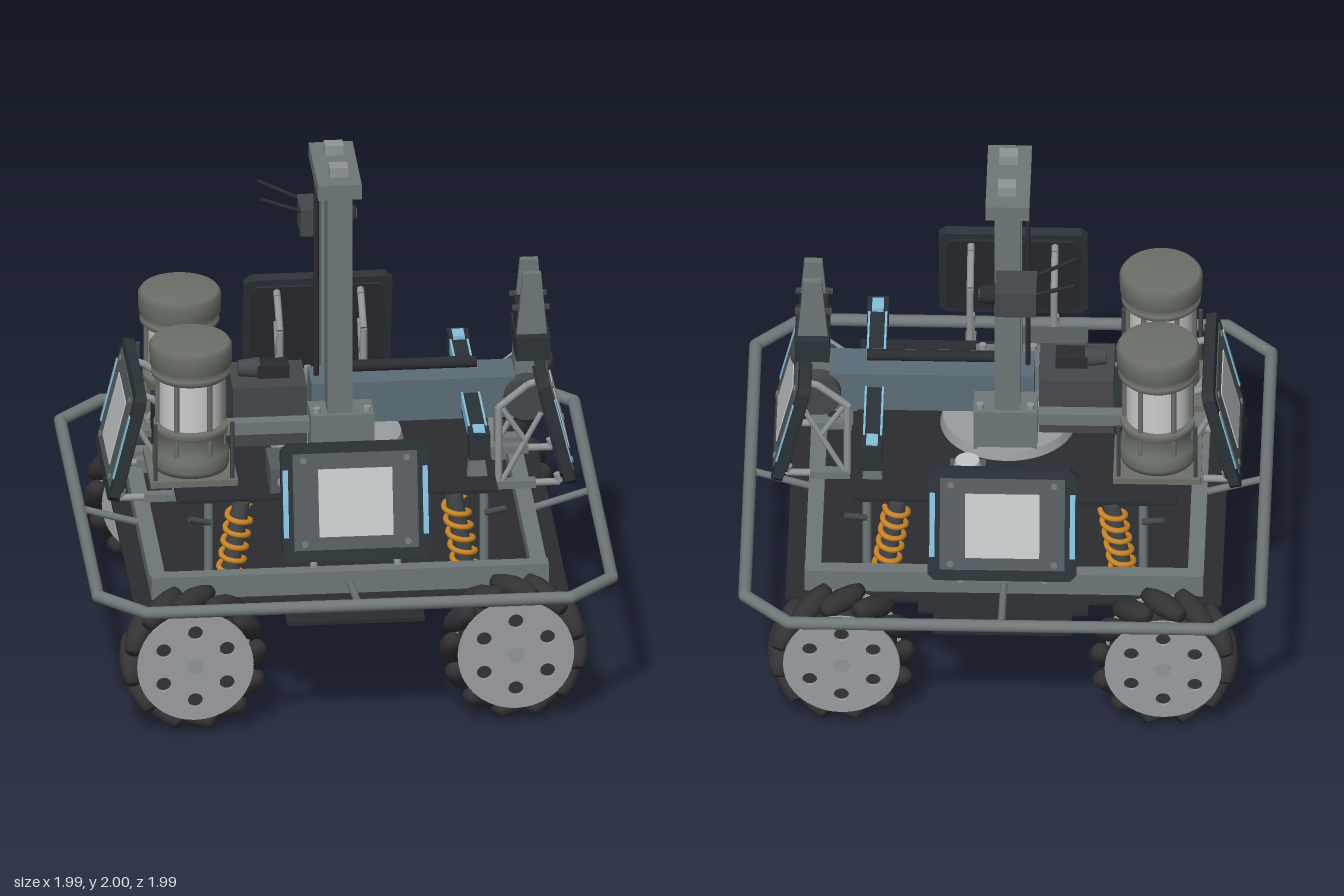
import * as THREE from 'three';

const V = (x, y, z) => new THREE.Vector3(x, y, z);
const mat = (color) => new THREE.MeshStandardMaterial({ color });
const M = {
  grey: mat(0x6f7778), steel: mat(0x8f9596), disc: mat(0x9a9da0), dark: mat(0x2b2c30), panel: mat(0x2b3338),
  rubber: mat(0x333335), metal: mat(0x45484b), blue: mat(0x86bfdd), spring: mat(0xc98528), can: mat(0x6c7069),
  glass: mat(0xc9cdcd), arm: mat(0x5c6d79), backing: mat(0x565c60), light: mat(0xc3c8c8),
};

function add(parent, name, geo, material, x = 0, y = 0, z = 0) {
  const m = new THREE.Mesh(geo, material);
  m.name = name;
  m.position.set(x, y, z);
  parent.add(m);
  return m;
}
// Box given by its minimum and maximum corners
function box(p, name, material, x0, x1, y0, y1, z0, z1) {
  return add(p, name, new THREE.BoxGeometry(x1 - x0, y1 - y0, z1 - z0), material,
    (x0 + x1) / 2, (y0 + y1) / 2, (z0 + z1) / 2);
}
// Round bar between two points
function rod(p, name, material, a, b, r, r2 = r, sides = 16) {
  const d = b.clone().sub(a);
  const m = add(p, name, new THREE.CylinderGeometry(r2, r, d.length(), sides), material);
  m.position.copy(a).add(b).multiplyScalar(0.5);
  m.quaternion.setFromUnitVectors(V(0, 1, 0), d.normalize());
  return m;
}
function group(p, name) {
  const g = new THREE.Group();
  g.name = name;
  p.add(g);
  return g;
}
function plate(points, depth) {
  const s = new THREE.Shape(points.map(([x, y]) => new THREE.Vector2(x, y)));
  return new THREE.ExtrudeGeometry(s, { depth, bevelEnabled: false });
}

// Wheel with slanted barrel rollers between two pierced discs
function wheel(p, slant) {
  const g = group(p, 'wheel');
  const face = new THREE.Shape().absarc(0, 0, 0.22, 0, Math.PI * 2);
  for (let i = 0; i < 6; i++) {
    const a = Math.PI / 6 + i * Math.PI / 3;
    face.holes.push(new THREE.Path().absarc(0.138 * Math.cos(a), 0.138 * Math.sin(a), 0.028, 0, Math.PI * 2, true));
  }
  const discGeo = new THREE.ExtrudeGeometry(face, { depth: 0.012, bevelEnabled: false, curveSegments: 20 });
  for (const z of [-0.09, 0.078]) add(g, 'wheelDisc', discGeo, M.disc, 0, 0, z);
  rod(g, 'wheelCore', M.rubber, V(0, 0, -0.077), V(0, 0, 0.077), 0.205, 0.205, 32);
  rod(g, 'hubCap', M.steel, V(0, 0, -0.095), V(0, 0, 0.095), 0.03);
  const barrel = new THREE.LatheGeometry([[0, -0.1], [0.025, -0.1], [0.038, -0.06], [0.046, 0], [0.038, 0.06],
    [0.025, 0.1], [0, 0.1]].map(([r, y]) => new THREE.Vector2(r, y)), 14);
  barrel.rotateX(Math.PI / 2).rotateY(slant * Math.PI / 4).translate(0, 0.236, 0);
  for (let i = 0; i < 12; i++) add(g, 'roller', barrel, M.rubber).rotation.z = i * Math.PI / 6;
  return g;
}

// Wheel, motor and spring strut of one corner
function corner(p, sx, sz) {
  const g = group(p, 'wheelUnit');
  wheel(g, sx * sz).position.set(sx * 0.605, 0.285, sz * 0.745);
  const x = sx * 0.605;
  const profile = [[0, 0.67], [0.03, 0.67], [0.03, 0.63], [0.06, 0.63], [0.07, 0.615], [0.07, 0.475], [0.06, 0.46], [0, 0.46]];
  const motor = add(g, 'motor', new THREE.LatheGeometry(profile.reverse().map(([r, y]) => new THREE.Vector2(r, y)), 24),
    M.metal, x, 0.285, 0);
  motor.rotation.x = sz * Math.PI / 2;
  const cap = add(g, 'motorCap', new THREE.SphereGeometry(0.057, 20, 14), M.glass, x, 0.285, sz * 0.43);
  cap.scale.z = 0.6;
  box(g, 'motorBracket', M.grey, x - 0.04, x + 0.04, 0.34, 0.46, sz * 0.55 - 0.03, sz * 0.55 + 0.03);
  const a = V(sx * 0.47, 0.34, sz * 0.49), b = V(sx * 0.4, 0.81, sz * 0.49);
  rod(g, 'strut', M.metal, a, b, 0.033);
  const pts = [];
  for (let i = 0; i <= 112; i++) {
    const t = i / 112, q = t * 8 * Math.PI * 2;
    pts.push(a.clone().lerp(b, 0.03 + 0.9 * t).add(V(0.046 * Math.cos(q), 0, 0.046 * Math.sin(q))));
  }
  add(g, 'spring', new THREE.TubeGeometry(new THREE.CatmullRomCurve3(pts), 200, 0.011, 8), M.spring);
  rod(g, 'strutArm', M.metal, V(sx * 0.52, 0.72, sz * 0.49), V(sx * 0.6, 0.75, sz * 0.52), 0.012);
  rod(g, 'deckPost', M.grey, V(sx * 0.52, 0.46, sz * 0.43), V(sx * 0.52, 0.81, sz * 0.43), 0.017);
  box(g, 'gusset', M.grey, sx * 0.4 - 0.15, sx * 0.4 + 0.15, 0.46, 0.53, sz * 0.54 - 0.012, sz * 0.54 + 0.012);
}

// Tilted display panel with its tube support, facing +z
function panel(p, turn) {
  const g = group(p, 'displayPanel');
  g.rotation.y = turn;
  const t = group(g, 'panelBoard');
  t.position.set(0, 0.935, 0.81);
  t.rotation.x = -0.24;
  const w = 0.28, h = 0.225, c = 0.025;
  const outline = [[-w + c, -h], [w - c, -h], [w, -h + c], [w, h - c], [w - c, h], [-w + c, h], [-w, h - c], [-w, -h + c]];
  add(t, 'panelFrame', plate(outline, 0.04), M.panel, 0, 0, -0.018);
  add(t, 'panelBack', plate(outline.map(([x, y]) => [x * 0.9, y * 0.88]), 0.015), M.dark, 0, 0, -0.03);
  box(t, 'panelFace', M.backing, -0.235, 0.235, -0.18, 0.19, 0.02, 0.026);
  box(t, 'panelSheet', M.light, -0.14, 0.14, -0.13, 0.13, 0.02, 0.03);
  for (const s of [-1, 1]) {
    box(t, 'lightStrip', M.blue, s * 0.264 - 0.01, s * 0.264 + 0.01, -0.13, 0.13, -0.01, 0.027);
    for (const y of [-0.155, 0.165]) rod(t, 'screw', M.grey, V(s * 0.195, y, 0.02), V(s * 0.195, y, 0.032), 0.013, 0.013, 12);
    const x = s * 0.158;
    const path = [[0.82, 0.72], [0.83, 0.685], [0.6, 0.685], [0.6, 1.0], [0.71, 1.09], [0.74, 1.1]];
    for (let i = 1; i < path.length; i++)
      rod(g, 'supportTube', M.steel, V(x, path[i - 1][1], path[i - 1][0]), V(x, path[i][1], path[i][0]), 0.014, 0.014, 10);
    rod(g, 'supportBrace', M.steel, V(x, 0.69, 0.61), V(x, 0.97, 0.76), 0.011, 0.011, 10);
    rod(g, 'supportBrace', M.steel, V(x, 1.0, 0.61), V(x, 0.86, 0.7), 0.011, 0.011, 10);
    box(g, 'supportFoot', M.grey, x - 0.02, x + 0.02, 0.67, 0.7, 0.59, 0.74);
  }
}

// Sample canister with cage rods and base plate
function canister(p, z) {
  const g = group(p, 'canister');
  g.position.set(-0.57, 0, z);
  box(g, 'canisterPlate', M.can, -0.165, 0.165, 0.825, 0.85, -0.16, 0.16);
  const turned = (name, m, pts) => add(g, name, new THREE.LatheGeometry(pts.map(([r, y]) => new THREE.Vector2(r, y)), 40), m);
  turned('canisterBase', M.can, [[0, 0.85], [0.14, 0.85], [0.145, 0.87], [0.145, 0.92], [0.125, 0.93], [0.125, 0.99], [0.14, 1], [0.14, 1.03], [0, 1.03]]);
  turned('canisterBody', M.glass, [[0.118, 1.02], [0.118, 1.24]]);
  turned('canisterLid', M.can, [[0, 1.225], [0.14, 1.225], [0.15, 1.235], [0.15, 1.25], [0.135, 1.265], [0.155, 1.275], [0.157, 1.345], [0.145, 1.362], [0, 1.362]]);
  for (let i = 0; i < 6; i++) {
    const a = i * Math.PI / 3, x = 0.125 * Math.cos(a), q = 0.125 * Math.sin(a);
    rod(g, 'cageRod', M.can, V(x, 0.85, q), V(x, 1.24, q), 0.01, 0.01, 8);
  }
  for (const x of [-0.145, 0.145]) rod(g, 'platePost', M.metal, V(x, 0.82, Math.sign(z) * 0.14), V(x, 1.08, Math.sign(z) * 0.14), 0.008, 0.008, 8);
}

export function createModel() {
  const root = new THREE.Group();
  root.name = 'rover';

  // Octagonal bumper rail
  const ring = [[0.8, 0.97], [0.97, 0.8], [0.97, -0.8], [0.8, -0.97], [-0.8, -0.97], [-0.97, -0.8], [-0.97, 0.8], [-0.8, 0.97]];
  ring.forEach(([x, z], i) => {
    const [x2, z2] = ring[(i + 1) % 8];
    rod(root, 'bumperRail', M.grey, V(x, 0.575, z), V(x2, 0.575, z2), 0.024);
    add(root, 'bumperJoint', new THREE.SphereGeometry(0.024, 14, 10), M.grey, x, 0.575, z);
  });

  // Lower deck, stepped around the wheels, and its beams
  const quarter = [[0.82, 0.65], [0.32, 0.65], [0.32, 0.72], [0.26, 0.72], [0.26, 0.85]];
  const half = [...quarter, ...quarter.slice().reverse().map(([x, z]) => [-x, z])];
  const deck = plate([...half, ...half.map(([x, z]) => [-x, -z])], 0.015);
  add(root, 'lowerDeck', deck.rotateX(-Math.PI / 2), M.dark, 0, 0.445, 0);
  for (const s of [-1, 1]) {
    box(root, 'longBeam', M.grey, -0.75, 0.75, 0.46, 0.55, s * 0.575 - 0.028, s * 0.575 + 0.028);
    box(root, 'crossBeam', M.grey, s * 0.72 - 0.03, s * 0.72 + 0.03, 0.46, 0.52, -0.55, 0.55);
    rod(root, 'railMount', M.grey, V(0, 0.575, s * 0.97), V(0, 0.5, s * 0.6), 0.014);
    rod(root, 'railMount', M.grey, V(s * 0.97, 0.575, 0), V(s * 0.72, 0.5, 0), 0.014);
    for (const sz of [-1, 1]) corner(root, s, sz);
  }
  box(root, 'bellyPlate', M.panel, 0.065, 0.3, 0.235, 0.257, -0.08, 0.08);
  box(root, 'upperDeck', M.dark, -0.645, 0.567, 0.808, 0.822, -0.51, 0.51);
  for (let i = 0; i < 4; i++) panel(root, i * Math.PI / 2);

  // Turntable and twin-column mast
  const mast = group(root, 'mast');
  rod(mast, 'turntable', M.disc, V(0, 0.822, 0), V(0, 0.86, 0), 0.255, 0.245, 48);
  for (const s of [-1, 1]) {
    box(mast, 'mastFoot', M.grey, -0.115, 0.125, 0.85, 1.02, s * 0.15 - 0.07, s * 0.15 + 0.07);
    box(mast, 'mastColumn', M.grey, -0.05, 0.045, 1.0, 1.9, s * 0.14 - 0.06, s * 0.14 + 0.06);
    box(mast, 'mastNub', M.steel, -0.035, 0.035, 1.96, 2.0, s * 0.1 - 0.028, s * 0.1 + 0.028);
    for (const x of [-0.09, 0.1]) rod(mast, 'mastBolt', M.steel, V(x, 1.02, s * 0.19), V(x, 1.04, s * 0.19), 0.014);
  }
  box(mast, 'mastCap', M.grey, -0.085, 0.08, 1.9, 1.96, -0.2, 0.2);
  rod(mast, 'mastCable', M.dark, V(-0.075, 0.98, 0), V(-0.075, 1.9, 0), 0.01);

  // Camera with two aerials
  const cam = group(root, 'camera');
  box(cam, 'cameraBody', M.metal, -0.115, 0.04, 1.567, 1.675, -0.36, -0.21);
  rod(cam, 'cameraLens', M.dark, V(0.04, 1.62, -0.285), V(0.1, 1.62, -0.285), 0.04, 0.034, 24);
  rod(cam, 'lensGlass', M.arm, V(0.1, 1.62, -0.285), V(0.104, 1.62, -0.285), 0.02);
  for (const s of [-1, 1])
    rod(cam, 'aerial', M.dark, V(-0.1, 1.66, -0.285 + s * 0.06), V(-0.265, 1.73, -0.29 + s * 0.085), 0.008, 0.008, 8);

  // Arm with rear drive housing
  const arm = group(root, 'arm');
  box(arm, 'armBeam', M.arm, -0.1, 0.67, 0.925, 1.09, -0.082, 0.082);
  rod(arm, 'armPiston', M.dark, V(0.05, 1.122, 0), V(0.53, 1.122, 0), 0.022);
  box(arm, 'driveHousing', M.metal, -0.4, -0.12, 0.86, 1.1, -0.12, 0.12);
  box(arm, 'rearHousing', M.panel, -0.69, -0.4, 0.83, 1.0, -0.115, 0.115);
  box(arm, 'driveBox', M.dark, -0.3, -0.18, 1.1, 1.15, -0.04, 0.04);
  rod(arm, 'driveKnob', M.metal, V(-0.37, 1.13, 0), V(-0.29, 1.13, 0), 0.03, 0.04);
  for (const s of [-1, 1]) box(arm, 'sideStrut', M.grey, -0.5, -0.1, 0.93, 0.98, s * 0.145 - 0.025, s * 0.145 + 0.025);

  // Wrist and gripper
  const grip = group(root, 'gripper');
  rod(grip, 'wristJoint', M.metal, V(0.71, 1.01, -0.12), V(0.71, 1.01, 0.12), 0.085, 0.085, 28);
  box(grip, 'wristNeck', M.grey, 0.67, 0.78, 1.03, 1.17, -0.06, 0.06);
  add(grip, 'wristBall', new THREE.SphereGeometry(0.06, 24, 16), M.metal, 0.76, 1.12, 0);
  box(grip, 'palm', M.panel, 0.67, 0.8, 1.17, 1.262, -0.12, 0.12);
  box(grip, 'gripMotor', M.dark, 0.675, 0.785, 1.26, 1.37, -0.045, 0.045);
  for (const s of [-1, 1]) {
    add(grip, 'finger', plate([[0.675, 1.25], [0.79, 1.25], [0.768, 1.51], [0.7, 1.51]], 0.03), M.grey, 0, 0, s * 0.065 - 0.015);
    box(grip, 'fingerPad', M.metal, 0.66, 0.8, 1.36, 1.375, s * 0.065 - 0.01, s * 0.065 + 0.01);
  }

  // Cross bar with light strips on two stands
  const bar = group(root, 'crossBar');
  box(bar, 'barBody', M.panel, 0.467, 0.533, 0.95, 1.03, -0.485, 0.485);
  for (const s of [-1, 1]) {
    box(bar, 'barEnd', M.panel, 0.46, 0.54, 0.935, 1.04, s * 0.445 - 0.042, s * 0.445 + 0.042);
    box(bar, 'barEndLight', M.blue, 0.478, 0.522, 1.03, 1.045, s * 0.435 - 0.035, s * 0.435 + 0.035);
    box(bar, 'barStrip', M.blue, 0.5 + s * 0.032 - 0.004, 0.5 + s * 0.032 + 0.004, 0.98, 1.034, -0.4, 0.4);
    add(bar, 'barStand', plate([[0.462, 0.82], [0.538, 0.82], [0.52, 0.95], [0.48, 0.95]], 0.05), M.grey, 0, 0, s * 0.36 - 0.025);
  }

  // Deck equipment
  for (const s of [-1, 1]) canister(root, s * 0.235);
  box(root, 'controlBox', M.backing, -0.29, 0, 0.822, 0.92, 0.27, 0.47);
  for (const x of [-0.25, -0.18, -0.11]) rod(root, 'boxSocket', M.steel, V(x, 0.87, 0.46), V(x, 0.87, 0.485), 0.014);
  box(root, 'domeBase', M.backing, 0.075, 0.21, 0.822, 0.862, -0.44, -0.3);
  rod(root, 'sensorDome', M.light, V(0.143, 0.862, -0.37), V(0.143, 0.91, -0.37), 0.055, 0.045, 28);
  return root;
}
